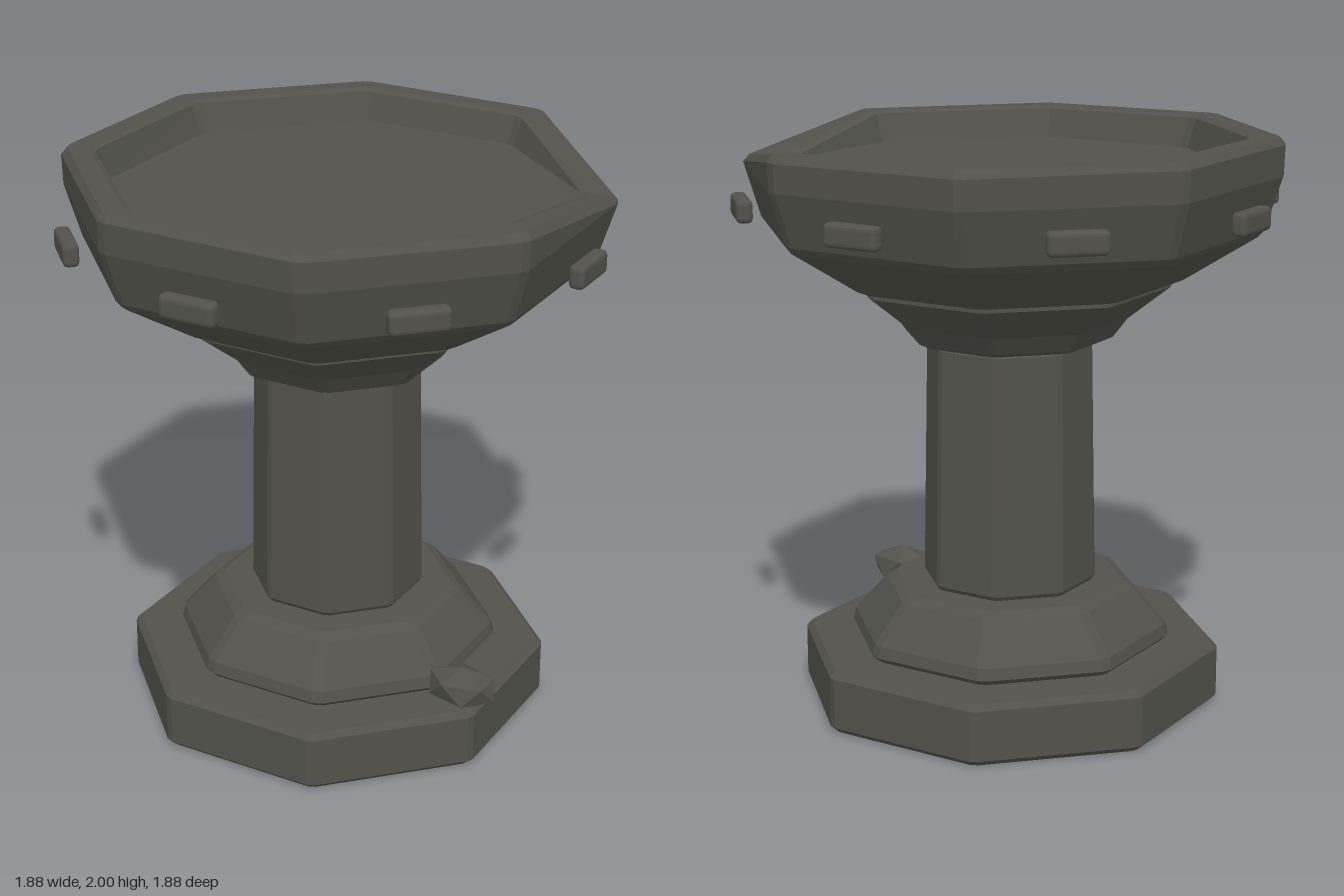
import * as THREE from 'three';
import { RoundedBoxGeometry } from 'three/addons/geometries/RoundedBoxGeometry.js';

const stone = new THREE.MeshStandardMaterial({ color: 0x52524a, flatShading: true });
stone.name = 'dark stone';

// Octagonal loft with worn corners; profile rows are [distance to flat side, height]
function octagonLoft(profile, cut, adjust = (p) => p) {
  const positions = [];
  const index = [];
  for (const [a, y] of profile) {
    const half = Math.max(0, a * Math.tan(Math.PI / 8) - cut);
    for (let k = 0; k < 8; k++) {
      const t = (k * Math.PI) / 4;
      for (const s of [-half, half]) {
        const p = new THREE.Vector3(
          a * Math.cos(t) - s * Math.sin(t), y, a * Math.sin(t) + s * Math.cos(t));
        adjust(p);
        positions.push(p.x, p.y, p.z);
      }
    }
  }
  for (let j = 0; j < profile.length - 1; j++) {
    for (let i = 0; i < 16; i++) {
      const a = j * 16 + i, b = j * 16 + ((i + 1) % 16);
      index.push(a, a + 16, b, b, a + 16, b + 16);
    }
  }
  const g = new THREE.BufferGeometry();
  g.setAttribute('position', new THREE.Float32BufferAttribute(positions, 3));
  g.setIndex(index);
  g.computeVertexNormals();
  return g;
}

export function createModel() {
  const group = new THREE.Group();
  const add = (name, geometry) => {
    const mesh = new THREE.Mesh(geometry, stone);
    mesh.name = name;
    group.add(mesh);
    return mesh;
  };

  // Stepped base
  add('plinth', octagonLoft([
    [0, 0], [0.67, 0], [0.69, 0.02], [0.69, 0.195], [0.67, 0.215], [0, 0.215],
  ], 0.015));
  add('baseMoulding', octagonLoft([
    [0, 0.215], [0.51, 0.215], [0.53, 0.235], [0.52, 0.275],
    [0.415, 0.405], [0.38, 0.425], [0, 0.425],
  ], 0.02));

  // Slightly tapered shaft
  add('column', octagonLoft([
    [0, 0.425], [0.275, 0.425], [0.285, 0.44], [0.27, 1.275], [0.255, 1.29], [0, 1.29],
  ], 0.012));

  // Flared collar under the bowl
  add('collar', octagonLoft([
    [0, 1.29], [0.31, 1.29], [0.34, 1.305], [0.385, 1.37], [0.52, 1.485], [0.52, 1.5], [0, 1.5],
  ], 0.015));

  // Bowl with a recessed floor, a slightly uneven rim and one chipped corner
  add('bowl', octagonLoft([
    [0, 1.5], [0.53, 1.5], [0.56, 1.51], [0.79, 1.665], [0.81, 1.69],
    [0.862, 1.87], [0.865, 1.97], [0.845, 1.995], [0.775, 1.995], [0.755, 1.985],
    [0.72, 1.885], [0, 1.885],
  ], 0.02, (p) => {
    if (p.y < 1.94) return;
    p.y += -0.005 * p.x + 0.003 * p.z;
    if (Math.abs(Math.atan2(p.z, p.x) + Math.PI / 8) < 0.15) p.y -= 0.085;
  }));

  // Ring of small blocks around the bowl
  const blockGeometry = new RoundedBoxGeometry(0.2, 0.08, 0.055, 2, 0.018);
  for (let k = 0; k < 8; k++) {
    const t = (k * Math.PI) / 4;
    const block = add('rimBlock', blockGeometry);
    block.position.set(0.912 * Math.sin(t), 1.772, 0.912 * Math.cos(t));
    block.rotation.y = t;
  }

  // Loose rock on the plinth
  const rock = add('rock', new THREE.IcosahedronGeometry(1, 0));
  rock.geometry.rotateZ(0.55);
  rock.geometry.scale(0.135, 0.073, 0.098);
  rock.position.set(0.63, 0.285, 0.25);

  return group;
}
